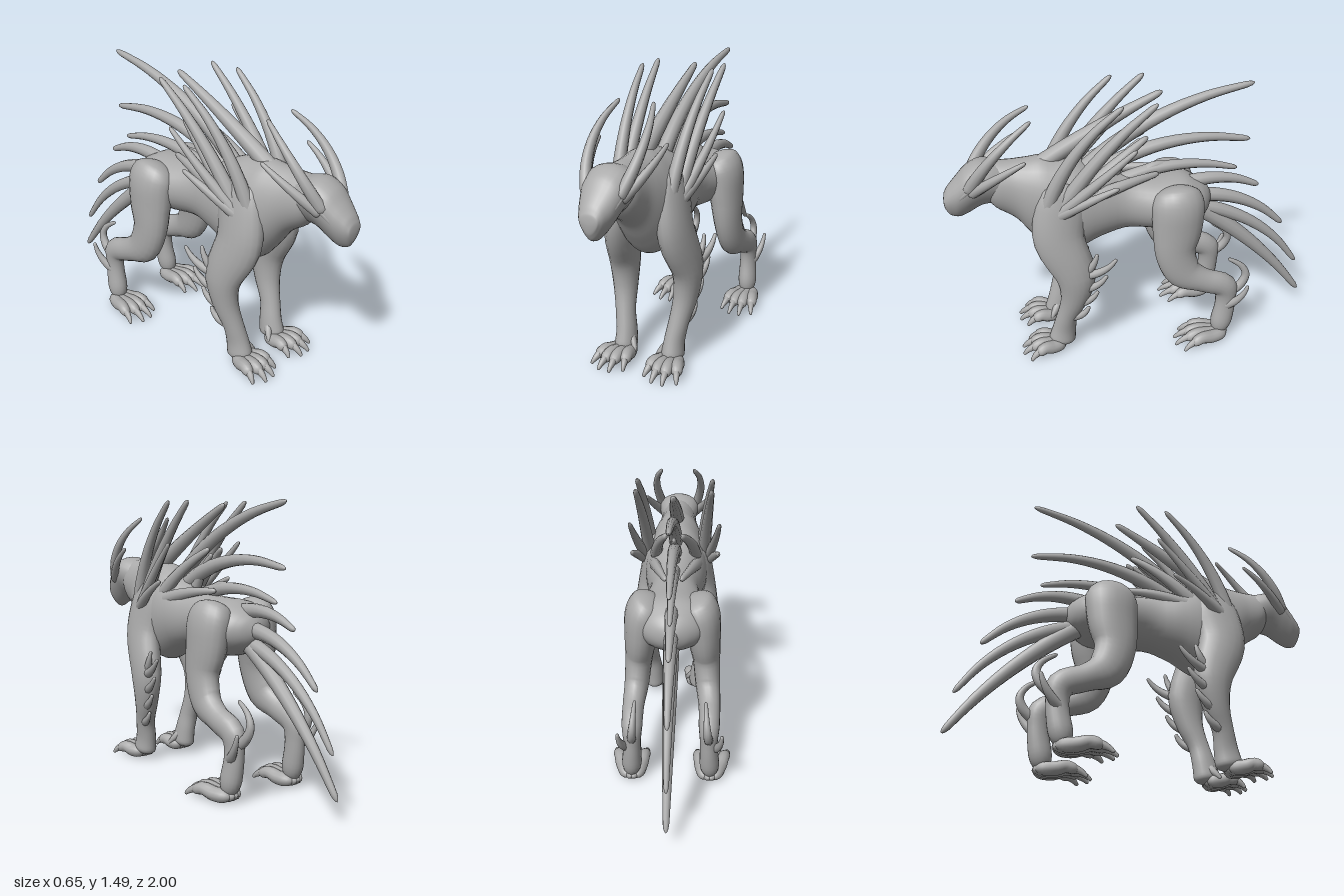
import * as THREE from 'three';

const hide = new THREE.MeshStandardMaterial({ color: 0xaaaaaa });
hide.name = 'grey hide';

// Smooth closed skin along sections [x, y, z, halfWidth, halfDepth].
// upright keeps every ring vertical; egg widens the upper half of each ring.
function loft(name, secs, { s = 1, steps = 36, sides = 20, cap = 0.08, upright = false, egg = 0 } = {}) {
  const path = new THREE.CatmullRomCurve3(secs.map(p => new THREE.Vector3(p[0] * s, p[1], p[2])));
  const size = new THREE.CatmullRomCurve3(secs.map(p => new THREE.Vector3(p[3], p[4], 0)));
  const pos = [], idx = [];
  for (let i = 0; i <= steps; i++) {
    const t = (1 - Math.cos(Math.PI * i / steps)) / 2;
    const c = path.getPoint(t), r = size.getPoint(t);
    const tan = upright ? new THREE.Vector3(0, 0, 1) : path.getTangent(t);
    const side = new THREE.Vector3(1, 0, 0).addScaledVector(tan, -tan.x).normalize();
    const up = tan.clone().cross(side);
    const d = Math.min(1, Math.min(t, 1 - t) / cap);
    const e = Math.max(0.002, Math.sqrt(1 - (1 - d) ** 2));
    for (let j = 0; j < sides; j++) {
      const a = j / sides * Math.PI * 2;
      const p = c.clone()
        .addScaledVector(side, r.x * e * Math.cos(a) * (1 + egg * Math.sin(a)))
        .addScaledVector(up, r.y * e * Math.sin(a));
      pos.push(p.x, p.y, p.z);
      if (i < steps) {
        const k = (j + 1) % sides, A = i * sides, B = A + sides;
        idx.push(A + j, A + k, B + j, A + k, B + k, B + j);
      }
    }
  }
  const g = new THREE.BufferGeometry();
  g.setAttribute('position', new THREE.Float32BufferAttribute(pos, 3));
  g.setIndex(idx);
  g.computeVertexNormals();
  const m = new THREE.Mesh(g, hide);
  m.name = name;
  return m;
}

// Tapering quill from base to tip; bow lifts its middle up and forward, out pushes it sideways
function quill(name, base, tip, r, bow = 0, out = 0, s = 1) {
  const a = new THREE.Vector3(...base), b = new THREE.Vector3(...tip);
  const lift = new THREE.Vector3(0, a.z - b.z, b.y - a.y).setLength(2 * bow);
  const mid = a.clone().lerp(b, 0.5).add(lift);
  mid.x += 2 * out;
  const secs = new THREE.QuadraticBezierCurve3(a, mid, b).getPoints(4).map((p, i) => {
    const w = r * (1 - 0.66 * (i / 4) ** 1.4);
    return [p.x, p.y, p.z, w * 0.85, w];
  });
  return loft(name, secs, { s, steps: 24, sides: 10, cap: 0.05 });
}

// Upright trunk sections given as [z, top, bottom, halfWidth]
const trunk = rows => rows.map(([z, t, b, w]) => [0, (t + b) / 2, z, w, (t - b) / 2]);

// Four arched toes fanning out from the paw, each with a pointed claw
function foot(name, x, rootZ, reach, s) {
  const g = new THREE.Group();
  g.name = name;
  for (let u = -1.5; u <= 1.5; u++) {
    const len = reach - 0.02 * (u * u - 0.25);
    const at = (f, y) => [x + 0.025 * u + (0.015 + 0.037 * u) * f, y, rootZ + len * f];
    const toe = [[-0.25, 0.045, 0.036], [0.2, 0.048, 0.038], [0.5, 0.062, 0.033], [0.78, 0.04, 0.028]];
    g.add(loft('toe', toe.map(([f, y, r]) => [...at(f, y), r, r]), { s, steps: 18, sides: 12, cap: 0.2 }));
    g.add(quill('claw', at(0.62, 0.055), at(1, 0.012), 0.024, -0.008, 0, s));
  }
  return g;
}

export function createModel() {
  const model = new THREE.Group();
  model.name = 'quilledBeast';

  // Trunk, neck and head
  model.add(loft('body', trunk([
    [-0.42, 0.89, 0.8, 0.04], [-0.35, 0.95, 0.74, 0.14], [-0.25, 0.995, 0.7, 0.2], [-0.1, 1.0, 0.7, 0.17],
    [0.05, 1.02, 0.71, 0.135], [0.2, 1.08, 0.67, 0.16], [0.35, 1.15, 0.6, 0.175], [0.47, 1.17, 0.62, 0.165],
    [0.56, 1.165, 0.72, 0.14], [0.64, 1.16, 0.83, 0.115], [0.8, 1.16, 0.94, 0.095],
  ]), { upright: true, steps: 56, sides: 32, cap: 0.05 }));
  model.add(loft('head', trunk([
    [0.64, 1.13, 0.9, 0.07], [0.79, 1.175, 0.925, 0.11], [0.87, 1.145, 0.885, 0.1],
    [0.93, 1.085, 0.86, 0.08], [0.975, 1.035, 0.875, 0.058], [1, 0.99, 0.92, 0.04],
  ]), { upright: true, sides: 28, egg: 0.35, cap: 0.06 }));

  // Quills along the centre line: base y, z, tip y, z, radius, bow
  const centre = {
    neckCrest: [1.1, 0.53, 1.48, -0.14, 0.05, 0.012],
    longBackQuill: [1.05, 0.3, 1.49, -0.62, 0.046, 0.08],
    lowerBackQuill: [1, 0.28, 1.17, -0.62, 0.046, 0.1],
    rumpQuill: [0.98, 0.1, 1, -0.56, 0.04, 0.06],
    upperTailQuill: [0.9, -0.18, 0.88, -0.69, 0.045, 0.06],
    midTailQuill: [0.85, -0.25, 0.61, -0.85, 0.045, 0.08],
    lowTailQuill: [0.8, -0.28, 0.33, -0.96, 0.042, 0.09],
    tail: [0.82, -0.28, 0.12, -0.995, 0.05, 0.05],
    backNub: [1.03, 0.12, 1.22, -0.03, 0.035, 0.01],
    rumpNub: [1.02, -0.04, 1.05, -0.2, 0.03, 0.025],
  };
  for (const [name, [y0, z0, y1, z1, r, bow]] of Object.entries(centre)) {
    model.add(quill(name, [0, y0, z0], [0, y1, z1], r, bow));
  }

  for (const s of [1, -1]) {
    const half = new THREE.Group();
    half.name = s > 0 ? 'leftSide' : 'rightSide';
    const spike = (name, base, tip, r, bow, out) => half.add(quill(name, base, tip, r, bow, out, s));

    // Horns and brow
    spike('upperHorn', [0.08, 1.04, 0.87], [0.09, 1.41, 0.53], 0.034, 0.035, 0.045);
    spike('lowerHorn', [0.085, 1.03, 0.86], [0.18, 1.235, 0.57], 0.03, 0.01, 0.02);
    spike('browRidge', [0.03, 0.93, 0.965], [0.11, 1.09, 0.82], 0.018, 0.01, 0.014);

    // Mane quills rising from the shoulder
    spike('frontManeQuill', [0.14, 0.88, 0.5], [0.195, 1.5, 0.09], 0.042, 0.06, 0);
    spike('rearManeQuill', [0.15, 0.86, 0.45], [0.19, 1.5, -0.08], 0.045, 0.04, 0);
    spike('outerManeQuill', [0.16, 0.88, 0.46], [0.235, 1.28, 0.03], 0.036, 0, 0.01);
    spike('shoulderQuill', [0.15, 0.87, 0.48], [0.235, 1.075, 0.12], 0.036, 0.01, 0.015);
    spike('backManeQuill', [0.11, 0.93, 0.34], [0.04, 1.25, -0.06], 0.045, 0.02, 0.02);
    spike('flankRidge', [0.12, 0.9, 0.38], [0.04, 1.03, -0.12], 0.045, 0.03, 0.025);

    // Thorns up the back of the forearm, spurs on the hock
    for (let i = 0; i < 4; i++) {
      const y = 0.24 + 0.1 * i;
      spike('forearmThorn', [0.17 + 0.012 * i, y, 0.4 - 0.03 * i],
        [0.2 + 0.014 * i, y + 0.08 + 0.01 * i, 0.29 - 0.05 * i], 0.028, -0.02, 0.01);
    }
    spike('elbowThorn', [0.2, 0.55, 0.31], [0.22, 0.68, 0.24], 0.026, -0.01, 0.01);
    spike('hockSpur', [0.2, 0.3, -0.5], [0.18, 0.53, -0.49], 0.03, -0.1, 0);
    spike('outerHockSpur', [0.22, 0.23, -0.47], [0.265, 0.39, -0.59], 0.028, -0.02, 0.01);

    // Front leg from shoulder blade to paw
    half.add(loft('frontLeg', [
      [0.1, 1.07, 0.38, 0.06, 0.1], [0.125, 0.92, 0.41, 0.073, 0.14], [0.15, 0.75, 0.43, 0.078, 0.135],
      [0.18, 0.53, 0.355, 0.074, 0.11], [0.175, 0.38, 0.365, 0.063, 0.078],
      [0.155, 0.24, 0.41, 0.052, 0.058], [0.14, 0.14, 0.43, 0.053, 0.066], [0.137, 0.035, 0.45, 0.062, 0.08],
    ], { s, steps: 44, cap: 0.06 }));
    half.add(foot('frontFoot', 0.137, 0.47, 0.2, s));
    spike('dewclaw', [0.11, 0.12, 0.44], [0.06, 0.05, 0.49], 0.026, 0, -0.005);

    // Hind leg: heavy haunch, backward shank, upright hock
    half.add(loft('hindLeg', [
      [0.1, 0.985, -0.2, 0.08, 0.1], [0.145, 0.89, -0.205, 0.1, 0.142], [0.165, 0.75, -0.2, 0.088, 0.135],
      [0.18, 0.61, -0.19, 0.073, 0.11], [0.19, 0.48, -0.24, 0.066, 0.1], [0.2, 0.415, -0.35, 0.057, 0.07],
      [0.2, 0.36, -0.47, 0.054, 0.07], [0.2, 0.26, -0.485, 0.046, 0.058], [0.21, 0.04, -0.45, 0.06, 0.068],
    ], { s, steps: 48, cap: 0.06 }));
    half.add(foot('hindFoot', 0.21, -0.44, 0.25, s));
    model.add(half);
  }
  return model;
}
